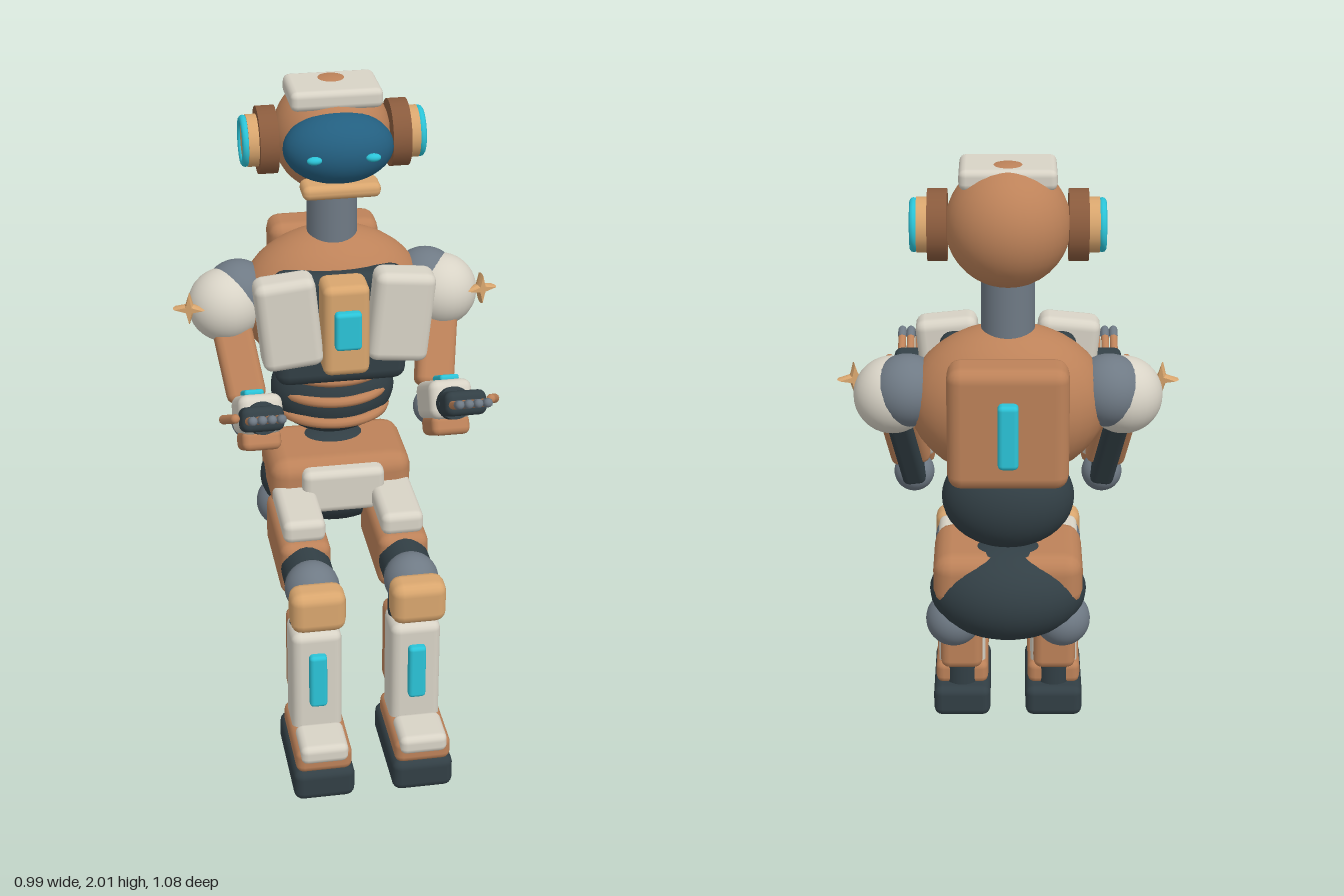
import * as THREE from 'three';
import { RoundedBoxGeometry } from 'three/addons/geometries/RoundedBoxGeometry.js';

const mat = (name, color) => {
  const m = new THREE.MeshStandardMaterial({ color });
  m.name = name;
  return m;
};

export function createModel() {
  const white = mat('offWhite', 0xd8d3c6);
  const copper = mat('copper', 0xbd8259);
  const brown = mat('darkBrown', 0x8a5b3d);
  const tan = mat('lightTan', 0xd9a66e);
  const dark = mat('charcoal', 0x323f45);
  const slate = mat('slateGrey', 0x6f7a85);
  const cyan = mat('cyan', 0x2bc4d8);
  const visorBlue = mat('visorBlue', 0x235f80);

  const model = new THREE.Group();
  model.name = 'seatedRobot';

  const add = (parent, name, geometry, material, x, y, z) => {
    const mesh = new THREE.Mesh(geometry, material);
    mesh.name = name;
    mesh.position.set(x, y, z);
    parent.add(mesh);
    return mesh;
  };
  // Rounded box given by its centre and size
  const box = (parent, name, m, x, y, z, w, h, d, r = 0.02) =>
    add(parent, name, new RoundedBoxGeometry(w, h, d, 2, Math.min(r, w / 2.1, h / 2.1, d / 2.1)), m, x, y, z);
  // Ellipsoid given by its centre and radii
  const ball = (parent, name, m, x, y, z, rx, ry = rx, rz = rx) =>
    add(parent, name, new THREE.SphereGeometry(1, 32, 20).scale(rx, ry, rz), m, x, y, z);
  const rod = (parent, name, m, x, y, z, r, len, axis = 'y') => {
    const g = new THREE.CylinderGeometry(r, r, len, 24);
    if (axis === 'x') g.rotateZ(Math.PI / 2);
    if (axis === 'z') g.rotateX(Math.PI / 2);
    return add(parent, name, g, m, x, y, z);
  };
  const group = (name, x = 0, y = 0, z = 0) => {
    const g = new THREE.Group();
    g.name = name;
    g.position.set(x, y, z);
    model.add(g);
    return g;
  };

  // Head
  const head = group('head');
  ball(head, 'skull', copper, 0, 1.83, -0.253, 0.175);
  ball(head, 'visor', visorBlue, 0, 1.835, -0.12, 0.162, 0.105, 0.112);
  box(head, 'crownPlate', white, 0, 1.97, -0.223, 0.27, 0.06, 0.19);
  box(head, 'chin', tan, 0, 1.722, -0.088, 0.23, 0.045, 0.09);
  rod(head, 'neck', slate, 0, 1.595, -0.242, 0.076, 0.19);

  // Torso
  const torso = group('torso');
  ball(torso, 'ribcage', copper, 0, 1.305, -0.245, 0.285, 0.23, 0.195);
  box(torso, 'chestPanel', dark, 0, 1.275, -0.105, 0.4, 0.36, 0.11, 0.04);
  box(torso, 'breastbone', tan, 0, 1.315, -0.02, 0.14, 0.29, 0.12, 0.025);
  box(torso, 'chestLight', cyan, 0, 1.33, 0.055, 0.08, 0.12, 0.035, 0.012);
  box(torso, 'backpack', copper, 0, 1.31, -0.437, 0.34, 0.36, 0.135, 0.04);
  box(torso, 'backpackLight', cyan, 0, 1.305, -0.515, 0.058, 0.19, 0.045, 0.014);
  ball(torso, 'abdomen', dark, 0, 1.005, -0.245, 0.193, 0.155, 0.137);
  [1.083, 1.012, 0.94].forEach((y) => {
    const rib = new THREE.TorusGeometry(0.15, 0.016, 10, 32, Math.PI).rotateX(Math.PI / 2);
    add(torso, 'abdomenRib', rib, copper, 0, y, -0.245).scale.set(1.07, 1, 0.97);
  });

  // Pelvis
  const pelvis = group('pelvis');
  ball(pelvis, 'seatShell', dark, 0, 0.698, -0.235, 0.232, 0.152, 0.167);
  box(pelvis, 'hipShell', copper, 0, 0.75, -0.19, 0.44, 0.175, 0.29, 0.055);
  box(pelvis, 'hipPlate', white, 0, 0.745, -0.045, 0.255, 0.145, 0.07, 0.025);

  // Four-pointed star outline
  const star = new THREE.Shape(Array.from({ length: 8 }, (_, i) => {
    const r = i % 2 ? 0.012 : 0.044;
    return new THREE.Vector2(r * Math.cos(i * Math.PI / 4), r * Math.sin(i * Math.PI / 4));
  }));

  for (const s of [1, -1]) {
    const side = s > 0 ? 'left' : 'right';

    // Eye and ear
    ball(head, side + 'Eye', cyan, s * 0.085, 1.836, -0.019, 0.022, 0.012, 0.014);
    rod(head, side + 'EarBase', brown, s * 0.195, 1.825, -0.24, 0.1, 0.055, 'x');
    rod(head, side + 'EarCup', tan, s * 0.236, 1.825, -0.24, 0.077, 0.034, 'x');
    const ring = new THREE.TorusGeometry(0.064, 0.012, 10, 32).rotateY(Math.PI / 2);
    add(head, side + 'EarRing', ring, cyan, s * 0.26, 1.825, -0.24);
    rod(head, side + 'EarDisc', tan, s * 0.255, 1.825, -0.24, 0.06, 0.018, 'x');

    // Chest plate
    box(torso, side + 'ChestPlate', white, s * 0.168, 1.34, -0.018, 0.182, 0.285, 0.105, 0.03)
      .rotation.z = -s * 0.1;

    // Shoulder and upper arm
    const arm = group(side + 'Arm');
    ball(arm, 'shoulderJoint', slate, s * 0.288, 1.335, -0.245, 0.105);
    ball(arm, 'shoulderCap', white, s * 0.331, 1.313, -0.222, 0.112);
    const starGeo = new THREE.ExtrudeGeometry(star, {
      depth: 0.008, bevelEnabled: true, bevelThickness: 0.012, bevelSize: 0.004, bevelSegments: 1,
    });
    add(arm, 'shoulderStar', starGeo, tan, s * 0.443, 1.337, -0.162).rotation.y = s * 0.25;

    const shoulder = new THREE.Vector3(s * 0.325, 1.3, -0.225);
    const elbow = new THREE.Vector3(s * 0.277, 1.0, -0.055);
    const upper = group(side + 'UpperArm');
    upper.position.copy(shoulder).lerp(elbow, 0.5);
    upper.quaternion.setFromUnitVectors(new THREE.Vector3(0, 1, 0), shoulder.clone().sub(elbow).normalize());
    box(upper, 'upperArmCore', dark, 0, -0.02, -0.018, 0.07, 0.3, 0.09);
    box(upper, 'upperArmShell', copper, 0, 0.02, 0.012, 0.118, 0.27, 0.085, 0.025);

    // Forearm, with local +z running towards the hand
    const fore = group(side + 'Forearm', s * 0.28, 1.0, -0.055);
    fore.rotation.x = -0.49;
    ball(fore, 'elbowJoint', slate, 0, 0, 0, 0.06);
    box(fore, 'forearmShell', white, 0, 0.018, 0.195, 0.13, 0.115, 0.235, 0.028);
    box(fore, 'forearmUnderside', copper, 0, -0.058, 0.185, 0.115, 0.06, 0.18);
    box(fore, 'forearmLight', cyan, s * 0.01, 0.08, 0.19, 0.058, 0.02, 0.125, 0.009);
    rod(fore, 'wrist', dark, 0, 0.005, 0.32, 0.048, 0.07, 'z');
    box(fore, 'palm', dark, s * 0.012, 0.004, 0.405, 0.122, 0.072, 0.12, 0.022);
    for (let i = 0; i < 4; i++) {
      const x = s * (0.012 + (i - 1.5) * 0.027);
      rod(fore, 'finger', copper, x, 0, 0.495, 0.012, 0.09, 'z');
      const tip = add(fore, 'fingertip', new THREE.CapsuleGeometry(0.0135, 0.025, 4, 10), slate, x, 0, 0.55);
      tip.rotation.x = Math.PI / 2;
    }
    const thumb = add(fore, 'thumb', new THREE.CapsuleGeometry(0.014, 0.075, 4, 10), copper, s * 0.102, 0.01, 0.4);
    thumb.rotation.set(-Math.PI / 2, 0, -s * 0.35);

    // Thigh and knee
    const leg = group(side + 'Leg', s * 0.15, 0, 0);
    ball(leg, 'hipJoint', slate, s * 0.012, 0.6, -0.24, 0.083);
    box(leg, 'thigh', copper, 0, 0.6, 0.015, 0.155, 0.18, 0.36, 0.035);
    box(leg, 'thighPlate', white, 0, 0.718, 0.032, 0.13, 0.075, 0.275, 0.025);
    rod(leg, 'kneeCollar', dark, 0, 0.605, 0.215, 0.076, 0.08, 'z');
    ball(leg, 'kneeJoint', slate, 0, 0.61, 0.298, 0.082);
    box(leg, 'kneeCap', tan, 0, 0.602, 0.395, 0.165, 0.135, 0.1, 0.035);

    // Shin
    rod(leg, 'shinCollar', dark, 0, 0.51, 0.3, 0.07, 0.08);
    box(leg, 'shin', white, 0, 0.318, 0.328, 0.152, 0.375, 0.14, 0.028);
    box(leg, 'calf', copper, 0, 0.335, 0.215, 0.135, 0.29, 0.085, 0.028);
    box(leg, 'shinLight', cyan, 0, 0.35, 0.404, 0.053, 0.18, 0.036, 0.012);
    rod(leg, 'ankle', dark, 0, 0.18, 0.28, 0.055, 0.18);

    // Foot
    box(leg, 'sole', dark, 0, 0.053, 0.365, 0.185, 0.106, 0.34, 0.028);
    box(leg, 'footShell', copper, 0, 0.137, 0.385, 0.17, 0.08, 0.285, 0.025);
    box(leg, 'toeCap', white, 0, 0.165, 0.468, 0.145, 0.062, 0.14, 0.022);
  }
  return model;
}
